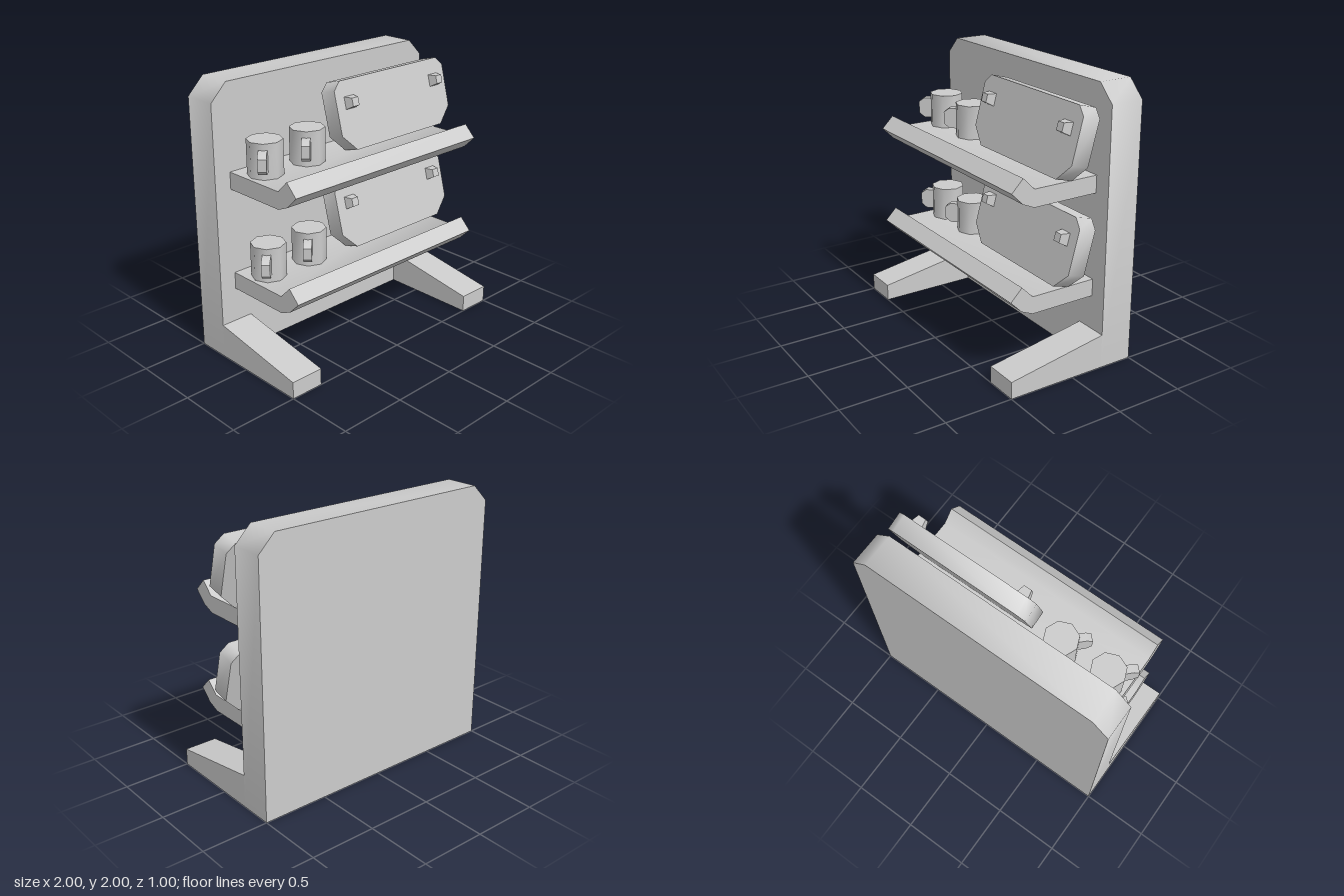
import * as THREE from 'three';
import { toCreasedNormals } from 'three/addons/utils/BufferGeometryUtils.js';

const material = new THREE.MeshStandardMaterial({ color: 0xcccccc });

// Extrude an outline along z, centred on z = 0
function slab(points, depth) {
  const shape = new THREE.Shape(points.map(([x, y]) => new THREE.Vector2(x, y)));
  const geometry = new THREE.ExtrudeGeometry(shape, { depth, bevelEnabled: false });
  return geometry.translate(0, 0, -depth / 2);
}

// Extrude a (z, y) side profile along x, centred on x = 0
const sideProfile = (points, width) => slab(points, width).rotateY(-Math.PI / 2);

function addMesh(parent, name, geometry, x = 0, y = 0, z = 0) {
  const mesh = new THREE.Mesh(toCreasedNormals(geometry, 0.8), material);
  mesh.name = name;
  mesh.position.set(x, y, z);
  parent.add(mesh);
  return mesh;
}

// Eight-sided mug with a solid handle turned towards the front corner
function createMug() {
  const mug = new THREE.Group();
  mug.name = 'mug';
  addMesh(mug, 'mugBody', new THREE.CylinderGeometry(0.125, 0.125, 0.25, 8), 0, 0.125, 0);
  const handle = slab([
    [0.08, 0.055], [0.17, 0.055], [0.21, 0.088], [0.21, 0.175], [0.17, 0.205], [0.08, 0.205],
  ], 0.06);
  addMesh(mug, 'mugHandle', handle).rotation.y = -Math.PI * 0.75;
  return mug;
}

// Leaning board with cut corners and two tapered pegs
function createBoard() {
  const board = new THREE.Group();
  board.name = 'leaningBoard';
  const w = 0.5625, h = 0.5, top = 0.0625, low = 0.12, depth = 0.135;
  addMesh(board, 'boardPanel', slab([
    [-w + low, 0], [w - low, 0], [w, low], [w, h - top],
    [w - top, h], [-w + top, h], [-w, h - top], [-w, low],
  ], depth), 0, 0, depth / 2);
  for (const side of [-1, 1]) {
    const peg = new THREE.CylinderGeometry(0.03 * Math.SQRT2, 0.045 * Math.SQRT2, 0.062, 4);
    peg.rotateY(Math.PI / 4).rotateX(Math.PI / 2);
    addMesh(board, 'peg', peg, side * 0.4375, 0.34, depth + 0.031);
  }
  board.rotation.x = -Math.PI / 12;
  return board;
}

// Shelf with an upturned front lip, carrying two mugs and a board
function createShelf() {
  const shelf = new THREE.Group();
  shelf.name = 'shelf';
  addMesh(shelf, 'shelfTray', sideProfile([
    [-0.25, 0], [0.25, 0], [0.338, 0.038], [0.425, 0.125], [0.338, 0.213], [0.25, 0.125], [-0.25, 0.125],
  ], 1.75));
  for (const x of [-0.725, -0.35]) {
    const mug = createMug();
    mug.position.set(x, 0.125, -0.055);
    shelf.add(mug);
  }
  const board = createBoard();
  board.position.set(0.4375, 0.125, -0.04);
  shelf.add(board);
  return shelf;
}

export function createModel() {
  const model = new THREE.Group();
  model.name = 'displayRack';

  // Upright panel with cut top corners
  addMesh(model, 'backPanel', slab([
    [-1, 0], [1, 0], [1, 1.875], [0.875, 2], [-0.875, 2], [-1, 1.875],
  ], 0.25), 0, 0, -0.375);

  // Sloping feet
  for (const side of [-1, 1]) {
    addMesh(model, 'foot', sideProfile([
      [-0.25, 0], [0.5, 0], [0.5, 0.125], [-0.25, 0.25],
    ], 0.25), side * 0.875);
  }

  for (const y of [0.5, 1.25]) {
    const shelf = createShelf();
    shelf.position.y = y;
    model.add(shelf);
  }
  return model;
}
